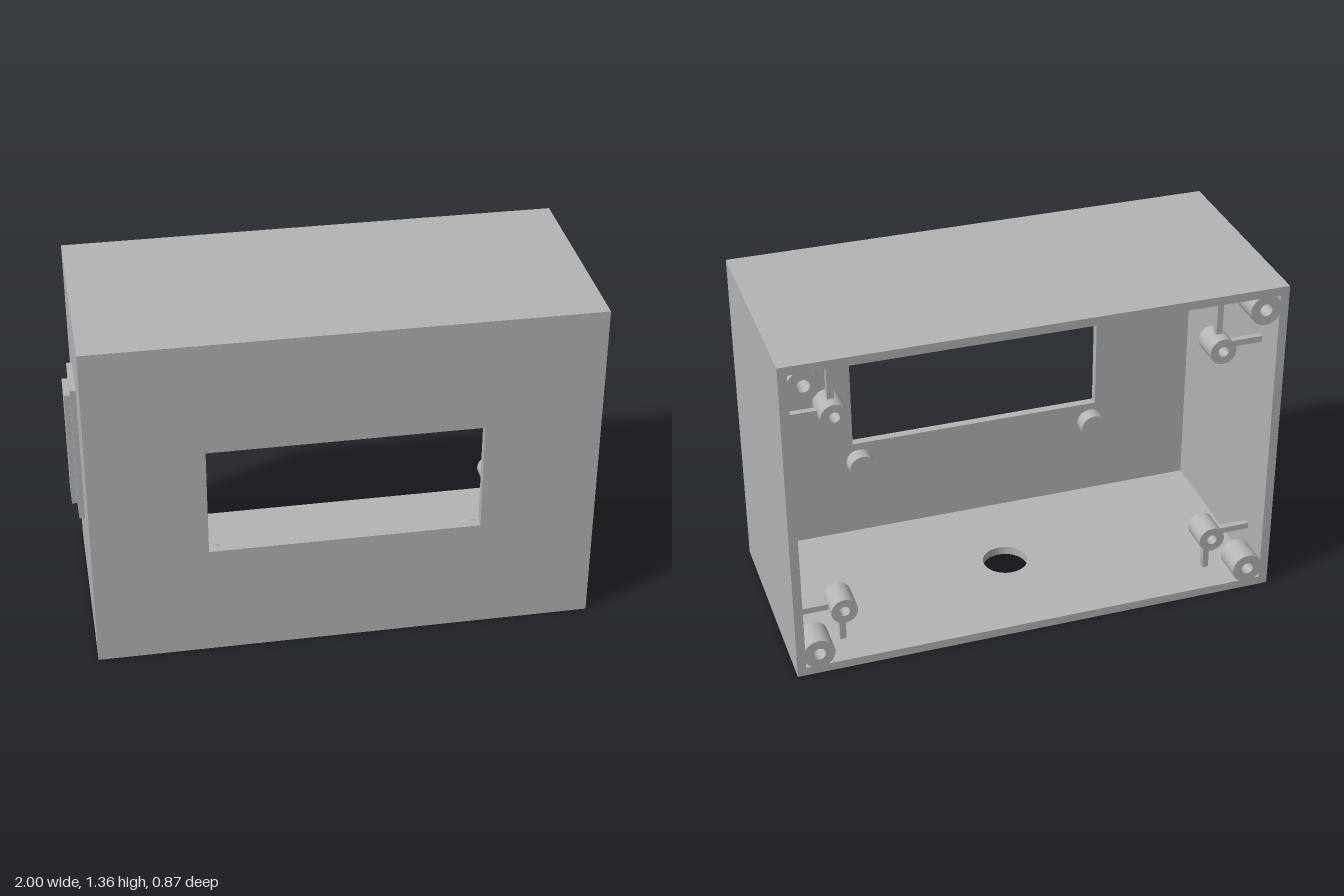
import * as THREE from 'three';

export function createModel() {
  const model = new THREE.Group();
  model.name = 'enclosure';
  const grey = new THREE.MeshStandardMaterial({ color: 0xb4b4b4 });
  grey.name = 'grey plastic';

  // Case extents and wall thickness
  const X0 = -0.955, X1 = 0.997, H = 1.36, Z = 0.435, T = 0.035;
  const cx = (X0 + X1) / 2;

  const add = (geo, name, parent = model) => {
    const mesh = new THREE.Mesh(geo, grey);
    mesh.name = name;
    parent.add(mesh);
    return mesh;
  };
  const box = (name, x0, x1, y0, y1, z0, z1, parent) =>
    add(new THREE.BoxGeometry(x1 - x0, y1 - y0, z1 - z0), name, parent)
      .position.set((x0 + x1) / 2, (y0 + y1) / 2, (z0 + z1) / 2);
  const rect = (path, x0, x1, y0, y1) =>
    path.moveTo(x0, y0).lineTo(x1, y0).lineTo(x1, y1).lineTo(x0, y1).closePath();
  const circle = (path, r) => path.absarc(0, 0, r, 0, Math.PI * 2);
  const extrude = (shape, depth) =>
    new THREE.ExtrudeGeometry(shape, { depth, bevelEnabled: false, curveSegments: 20 });

  // Front panel with display window
  const front = rect(new THREE.Shape(), X0, X1, 0, H);
  front.holes.push(rect(new THREE.Path(), -0.51, 0.545, 0.46, 0.905));
  add(extrude(front, T), 'frontPanel').position.z = Z - T;

  // Floor with round cable hole
  const floor = rect(new THREE.Shape(), X0 - cx, X1 - cx, -Z, Z - T);
  floor.holes.push(circle(new THREE.Path(), 0.091));
  const floorMesh = add(extrude(floor, T).rotateX(Math.PI / 2), 'floor');
  floorMesh.position.set(cx, T, 0);

  // Top and side walls, back left open
  box('topWall', X0, X1, H - T, H, -Z, Z - T);
  box('leftWall', X1 - T, X1, T, H - T, -Z, Z - T);
  box('rightWall', X0, X0 + T, T, H - T, -Z, Z - T);

  // Stepped plate on the right side
  box('sidePlate', -0.977, X0, 0.405, 0.99, -0.165, 0.05);
  box('sidePlateRaised', -1, -0.977, 0.45, 0.945, -0.125, 0.005);

  // Hollow cylinder along z, starting at z
  const tube = (name, x, y, z, r, hole, length, parent) => {
    const shape = circle(new THREE.Shape(), r);
    shape.holes.push(circle(new THREE.Path(), hole));
    add(extrude(shape, length), name, parent).position.set(x, y, z);
  };

  for (const side of [-1, 1]) {
    const edge = side < 0 ? X0 : X1;
    const wall = edge - side * T;
    for (const up of [-1, 1]) {
      // Corner screw post, flush with the back rim
      tube('cornerPost', edge - side * 0.09, up < 0 ? 0.088 : H - 0.088, -Z, 0.062, 0.025, 0.125);

      // Inner boss braced to the nearest walls by two ribs
      const boss = new THREE.Group();
      boss.name = 'boardBoss';
      model.add(boss);
      const x = edge - side * 0.215, y = up < 0 ? 0.2 : 1.07;
      const end = up < 0 ? T : H - T, z = -0.29, r = 0.053, t = 0.0125;
      tube('bossTube', x, y, -0.35, r, 0.021, 0.12, boss);
      const xs = [x + side * r * 0.9, wall].sort((a, b) => a - b);
      const ys = [y + up * r * 0.9, end].sort((a, b) => a - b);
      box('sideRib', xs[0], xs[1], y - t, y + t, z - t, z + t, boss);
      box('uprightRib', x - t, x + t, ys[0], ys[1], z - t, z + t, boss);

      // Solid peg behind the front panel beside the window
      const peg = add(new THREE.CylinderGeometry(0.055, 0.055, 0.06, 32).rotateX(Math.PI / 2), 'displayPeg');
      peg.position.set(side < 0 ? -0.488 : 0.52, up < 0 ? 0.375 : 1.01, Z - T - 0.03);
    }
  }
  return model;
}
